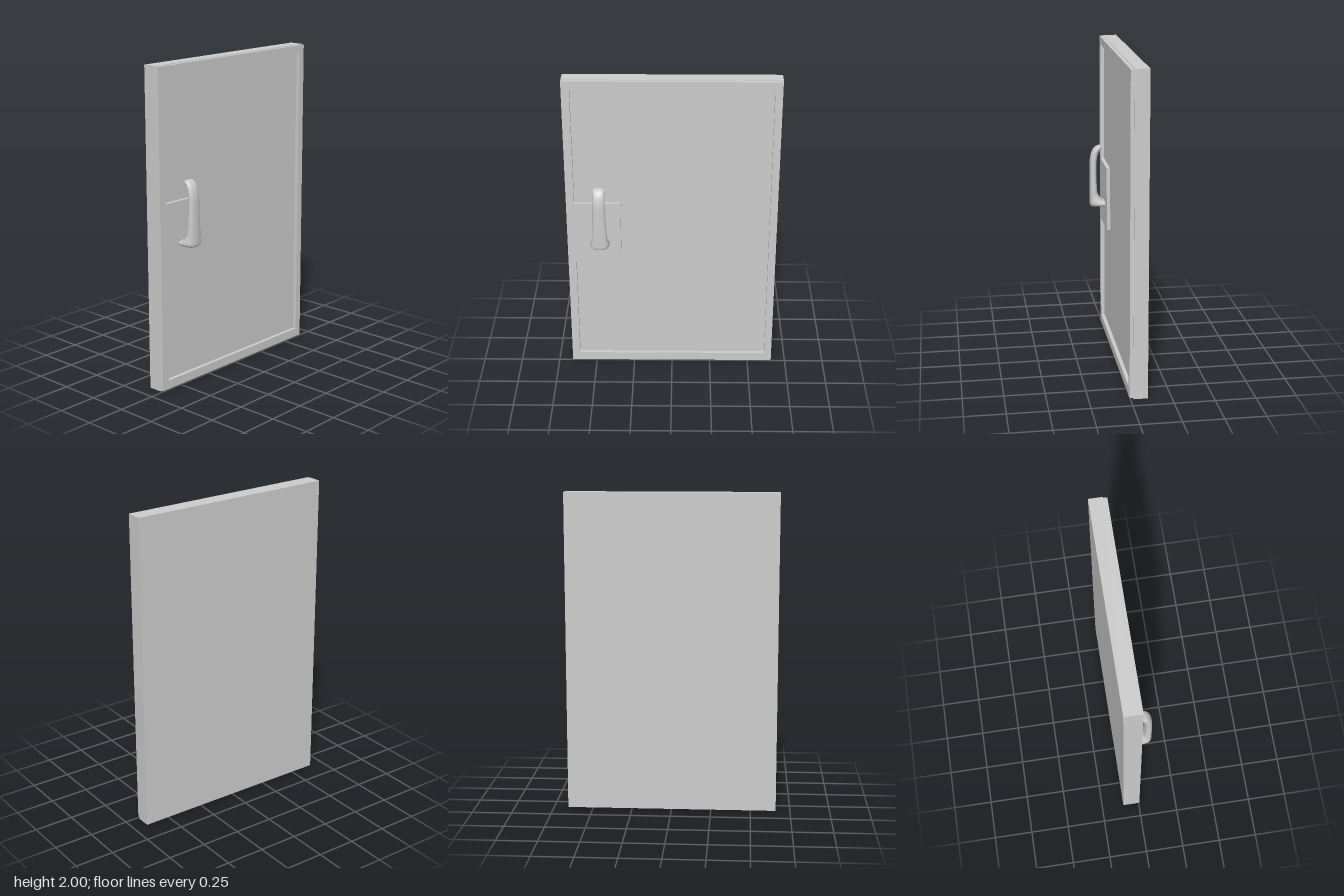
import * as THREE from 'three';

const material = new THREE.MeshStandardMaterial({ color: 0xcccccc });

function addPart(group, name, geometry) {
  const mesh = new THREE.Mesh(geometry, material);
  mesh.name = name;
  group.add(mesh);
  return mesh;
}

// Corners are [-z, y] pairs
const toPoints = (corners) => corners.map(([u, y]) => new THREE.Vector2(u, y));

// Raised border with a square pad for the handle
function frameGeometry(depth) {
  const shape = new THREE.Shape(toPoints([[-0.66, 0.007], [0.655, 0.007], [0.655, 1.997], [-0.66, 1.997]]));
  shape.holes.push(new THREE.Path(toPoints([
    [-0.61, 0.063], [-0.61, 0.763], [-0.322, 0.763], [-0.322, 1.18],
    [-0.61, 1.18], [-0.61, 1.945], [0.612, 1.945], [0.612, 0.063],
  ])));
  return new THREE.ExtrudeGeometry(shape, { depth, bevelEnabled: false }).rotateY(Math.PI / 2);
}

// Handle lofted from rounded sections, each [inner x, y, outer x, y, half width]
function handleGeometry() {
  const sections = [
    [0.003, 0.935, 0.003, 0.897, 0.058],
    [0.015, 0.940, 0.045, 0.896, 0.060],
    [0.028, 0.951, 0.080, 0.896, 0.059],
    [0.040, 0.967, 0.098, 0.904, 0.056],
    [0.050, 0.990, 0.101, 0.945, 0.049],
    [0.054, 1.040, 0.102, 1.020, 0.045],
    [0.057, 1.120, 0.101, 1.120, 0.041],
    [0.056, 1.190, 0.100, 1.195, 0.039],
    [0.047, 1.245, 0.092, 1.250, 0.038],
    [0.033, 1.280, 0.074, 1.288, 0.037],
    [0.023, 1.297, 0.052, 1.304, 0.033],
    [0.021, 1.302, 0.040, 1.307, 0.024],
    [0.028, 1.306, 0.028, 1.306, 0],
  ];
  const inner = new THREE.CatmullRomCurve3(sections.map((s) => new THREE.Vector3(s[0], s[1], 0)));
  const outer = new THREE.CatmullRomCurve3(sections.map((s) => new THREE.Vector3(s[2], s[3], s[4])));
  const rows = 48, sides = 32, centreZ = 0.452;
  const positions = [], indices = [];
  const rounded = (v) => Math.sign(v) * Math.abs(v) ** 0.85;
  for (let i = 0; i <= rows; i++) {
    const a = inner.getPoint(i / rows), b = outer.getPoint(i / rows);
    for (let j = 0; j < sides; j++) {
      const angle = (j / sides) * Math.PI * 2;
      const c = (1 + rounded(Math.cos(angle))) / 2;
      positions.push(
        a.x + (b.x - a.x) * c,
        a.y + (b.y - a.y) * c,
        centreZ + b.z * rounded(Math.sin(angle)),
      );
      if (i < rows) {
        const k = (j + 1) % sides;
        const p = i * sides + j, q = i * sides + k;
        indices.push(p, p + sides, q, q, p + sides, q + sides);
      }
    }
  }
  const geometry = new THREE.BufferGeometry();
  geometry.setAttribute('position', new THREE.Float32BufferAttribute(positions, 3));
  geometry.setIndex(indices);
  geometry.computeVertexNormals();
  return geometry;
}

export function createModel() {
  const group = new THREE.Group();
  group.name = 'door';

  // Main slab, whose outer face is the floor of the recess
  const panel = addPart(group, 'doorPanel', new THREE.BoxGeometry(0.088, 2, 1.32));
  panel.position.set(-0.062, 1, 0);

  const frame = addPart(group, 'raisedFrame', frameGeometry(0.023));
  frame.position.x = -0.018;

  addPart(group, 'handle', handleGeometry());
  return group;
}
